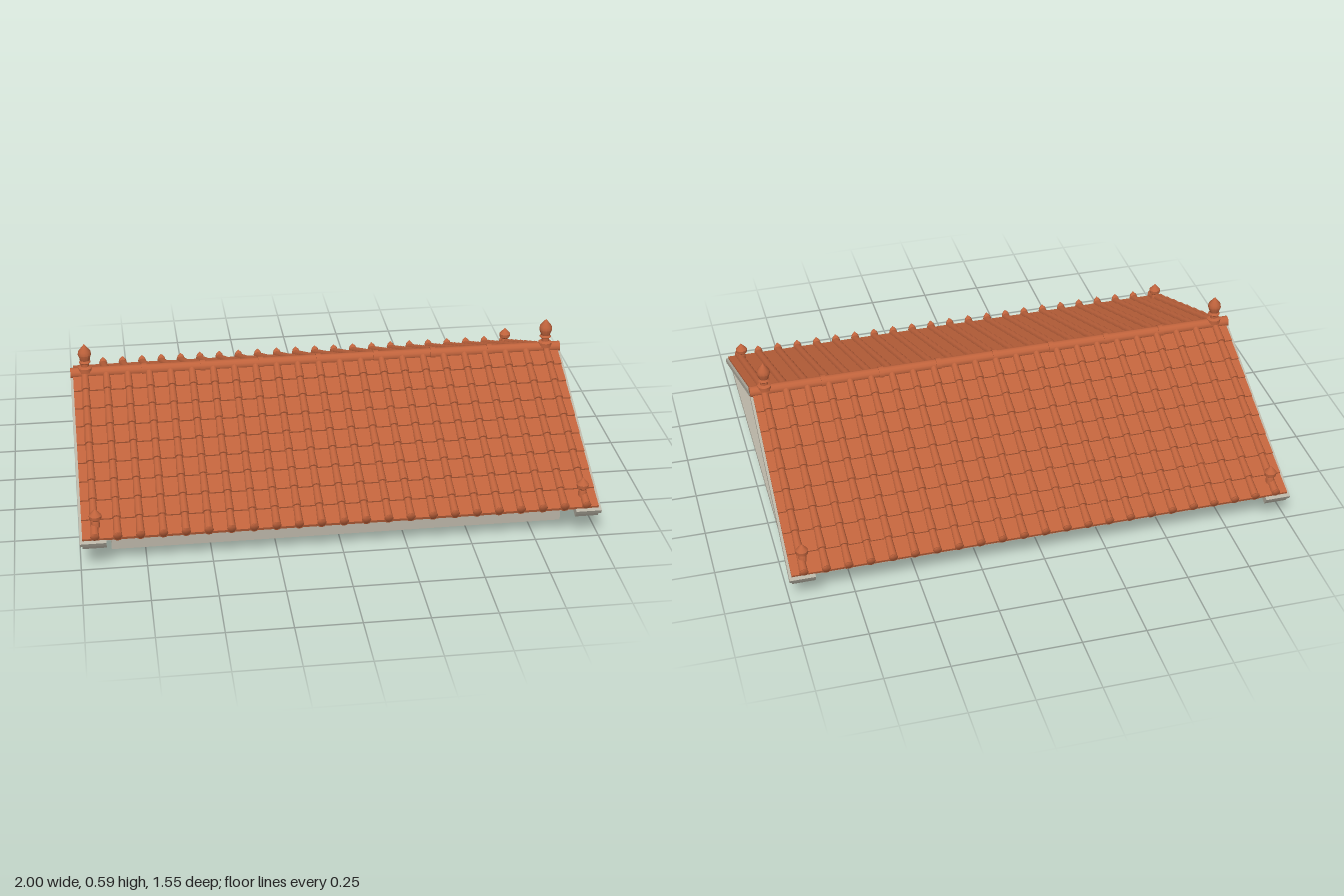
import * as THREE from 'three';
import { mergeGeometries, toCreasedNormals } from 'three/addons/utils/BufferGeometryUtils.js';

const stone = new THREE.MeshStandardMaterial({ name: 'stone', color: 0xb8b3a5 });
const tile = new THREE.MeshStandardMaterial({ name: 'terracotta', color: 0xc0633c });
const gold = new THREE.MeshStandardMaterial({ name: 'gold', color: 0xcfa23e });

const ANGLE = Math.atan(0.436);
const ROWS = 9, COLS = 23, ROW = 0.823 / ROWS, PITCH = 0.0857;

function add(parent, name, geometry, material) {
  const mesh = new THREE.Mesh(geometry, material);
  mesh.name = name;
  parent.add(mesh);
  return mesh;
}

const box = (w, h, d, x, y, z) => new THREE.BoxGeometry(w, h, d).translate(x, y, z);

// Extrudes an outline drawn on the gable plane along x, from x0 to x1
function gable(points, x0, x1) {
  const shape = new THREE.Shape(points.map(([a, b]) => new THREE.Vector2(a, b)));
  return new THREE.ExtrudeGeometry(shape, { depth: x1 - x0, bevelEnabled: false })
    .rotateY(Math.PI / 2).translate(x0, 0, 0);
}

// Inverted V band between two heights at the apex
function chevron(top, bottom, topEnd, bottomEnd, x0, x1) {
  const t = top - 0.436 * topEnd, b = bottom - 0.436 * bottomEnd;
  return gable([[-topEnd, t], [-bottomEnd, b], [0, bottom], [bottomEnd, b], [topEnd, t], [0, top]], x0, x1);
}

// Rectangular ring of four beams
function ring(hx, hz, width, y0, y1) {
  const h = y1 - y0, y = (y0 + y1) / 2, parts = [];
  for (const s of [-1, 1]) {
    parts.push(box(hx * 2, h, width, 0, y, s * (hz - width / 2)));
    parts.push(box(width, h, (hz - width) * 2, s * (hx - width / 2 - 0.003), y, 0));
  }
  return mergeGeometries(parts);
}

function finial(profile) {
  const pts = profile.map(([r, y]) => new THREE.Vector2(r, y));
  return toCreasedNormals(new THREE.LatheGeometry(pts, 12), 0.7);
}

// One roof slope: local z runs down the slope, local y is its normal
function roofSlope() {
  const slope = new THREE.Group();
  slope.name = 'roofSlope';
  const pans = [], covers = [], caps = [];
  for (let r = 0; r < ROWS; r++) {
    const z = (r + 0.5) * ROW;
    pans.push(new THREE.BoxGeometry(1.98, 0.012, ROW + 0.012).rotateX(-0.07).translate(0, 0.003, z));
    for (let c = 0; c < COLS; c++) {
      const x = (c - (COLS - 1) / 2) * PITCH;
      covers.push(new THREE.CylinderGeometry(0.0175, 0.0135, ROW + 0.01, 10)
        .rotateX(Math.PI / 2 - 0.04).translate(x, 0.008, z));
    }
  }
  // Leaf shaped caps along the eave
  for (let c = 0; c < COLS; c++) {
    const x = (c - (COLS - 1) / 2) * PITCH;
    caps.push(new THREE.LatheGeometry([[0, 0], [0.014, 0.003], [0.018, 0.02], [0.013, 0.034], [0, 0.046]]
      .map(([a, b]) => new THREE.Vector2(a, b)), 8)
      .scale(1, 1, 0.5).rotateX(0.45 + ANGLE * -1 + 0.05).translate(x, -0.003, 0.823));
  }
  add(slope, 'panTiles', mergeGeometries(pans), tile);
  add(slope, 'coverTiles', mergeGeometries(covers), tile);
  add(slope, 'eaveCaps', mergeGeometries(caps), tile);
  slope.position.y = 0.46;
  slope.rotation.x = ANGLE;
  return slope;
}

// Grooved frieze blocks and the flat blocks above them, along one side
function friezeSide(count, half, face, out) {
  const bars = [], blocks = [];
  for (let i = 0; i < count; i++) {
    const x = -half + (2 * half * i) / (count - 1);
    for (const k of [-1, 0, 1]) bars.push(box(0.011, 0.036, 0.012, x + k * 0.017, 0.063, face + 0.003));
    bars.push(box(0.052, 0.007, 0.014, x, 0.083, face + 0.003));
    blocks.push(box(0.066, 0.008, out, x, 0.088, face + 0.012 + out / 2));
  }
  const side = new THREE.Group();
  side.name = 'friezeSide';
  add(side, 'friezeBlocks', mergeGeometries(bars), stone);
  add(side, 'soffitBlocks', mergeGeometries(blocks), stone);
  return side;
}

export function createModel() {
  const model = new THREE.Group();
  model.name = 'templeRoof';

  // Beams, frieze and cornice
  add(model, 'baseBeam', ring(0.88, 0.61, 0.09, 0, 0.045), stone);
  add(model, 'frieze', ring(0.872, 0.6, 0.075, 0.045, 0.092), stone);
  add(model, 'lowerCornice', box(1.95, 0.016, 1.4, 0, 0.099, 0), stone);
  add(model, 'upperCornice', box(1.97, 0.014, 1.42, 0, 0.114, 0), stone);
  for (const turn of [0, Math.PI]) {
    const front = friezeSide(13, 0.845, 0.6, 0.075);
    front.rotation.y = turn;
    const end = friezeSide(9, 0.575, 0.869, 0.07);
    end.rotation.y = turn + Math.PI / 2;
    model.add(front, end);
  }

  // Gable wall set back inside the roof
  add(model, 'gableWall', gable([[-0.62, 0.12], [0.62, 0.12], [0, 0.387]], -0.9, 0.9), stone);

  // Sloping cornices and emblem at both ends
  const bolt = [[-0.015, 0.305], [-0.04, 0.225], [-0.008, 0.225], [-0.025, 0.17],
    [0.037, 0.26], [0.02, 0.26], [0.04, 0.305]];
  for (const turn of [0, Math.PI]) {
    const end = new THREE.Group();
    end.name = 'gableEnd';
    end.rotation.y = turn;
    add(end, 'slopingCorniceTop', chevron(0.463, 0.443, 0.775, 0.766, 0.9, 1), stone);
    add(end, 'slopingCorniceBottom', chevron(0.443, 0.425, 0.766, 0.757, 0.9, 0.99), stone);
    add(end, 'boltEmblem', gable(bolt, 0.9, 0.908), gold);
    model.add(end);
  }

  // Tiled slopes, front and back
  for (const turn of [0, Math.PI]) {
    const half = new THREE.Group();
    half.name = turn ? 'backRoof' : 'frontRoof';
    half.rotation.y = turn;
    half.add(roofSlope());
    model.add(half);
  }

  // Ridge tiles with raised joints
  const ridge = [new THREE.CylinderGeometry(0.022, 0.022, 2, 12).rotateZ(Math.PI / 2)];
  for (let i = -4; i <= 4; i++) {
    ridge.push(new THREE.CylinderGeometry(0.026, 0.026, 0.02, 12).rotateZ(Math.PI / 2).translate(i * 0.235, 0, 0));
  }
  add(model, 'ridgeTiles', mergeGeometries(ridge), tile).position.y = 0.466;

  // Ridge finials and smaller corner finials
  const tall = finial([[0, 0], [0.028, 0], [0.028, 0.018], [0.016, 0.024], [0.016, 0.036], [0.024, 0.042],
    [0.018, 0.05], [0.027, 0.075], [0.024, 0.09], [0, 0.12]]);
  const small = finial([[0, -0.02], [0.017, -0.02], [0.016, 0.02], [0.013, 0.028], [0.023, 0.036],
    [0.024, 0.05], [0, 0.078]]);
  for (const sx of [-1, 1]) {
    add(model, 'ridgeFinial', tall, tile).position.set(sx * 0.94, 0.472, 0);
    for (const sz of [-1, 1]) {
      add(model, 'cornerFinial', small, tile).position.set(sx * 0.937, 0.158, sz * 0.706);
    }
  }
  return model;
}
